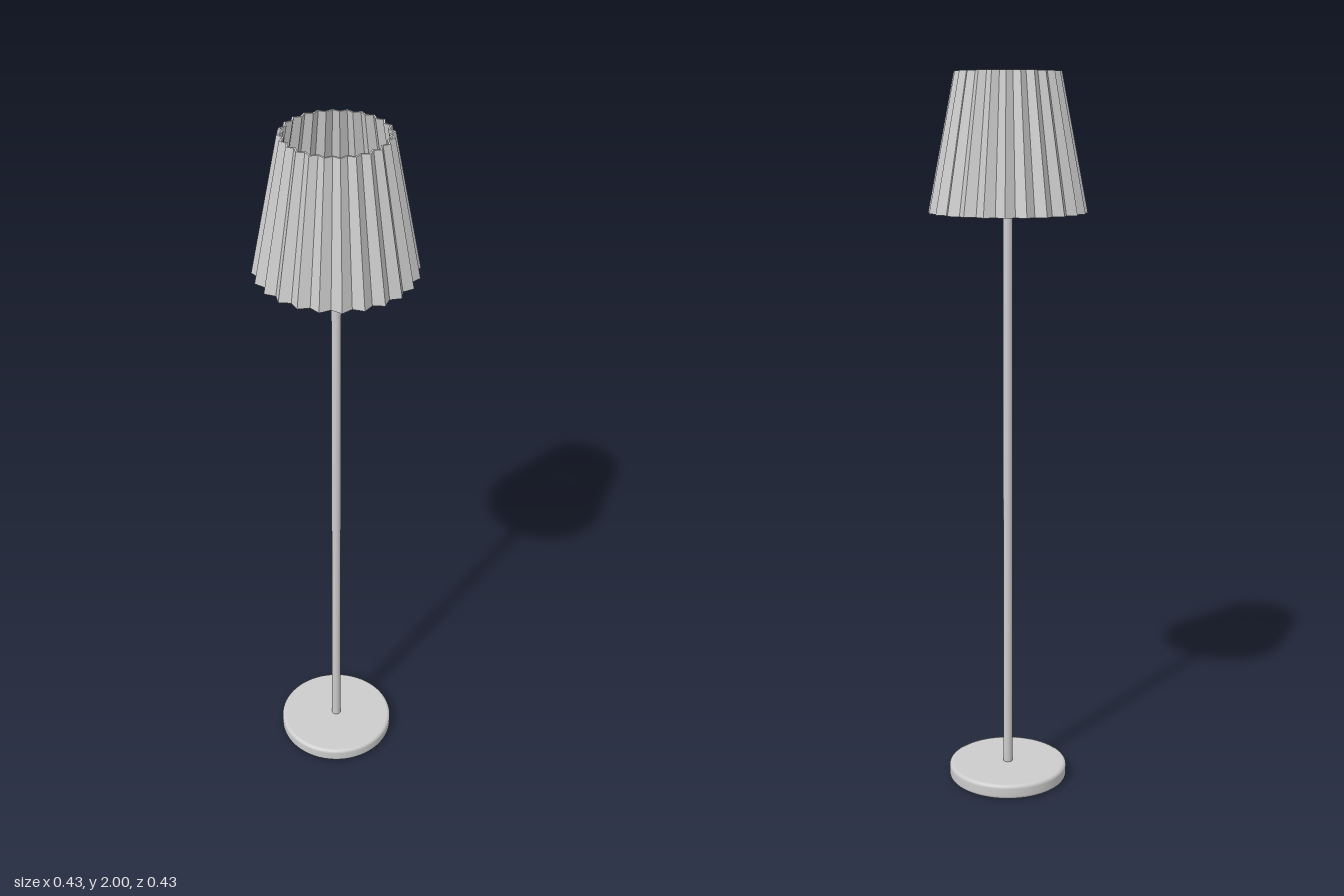
import * as THREE from 'three';

const PLEATS = 24;

export function createModel() {
  const group = new THREE.Group();
  group.name = 'floorLamp';
  const smooth = new THREE.MeshStandardMaterial({ color: 0xcccccc });
  const flat = new THREE.MeshStandardMaterial({ color: 0xcccccc, flatShading: true, side: THREE.DoubleSide });

  const add = (name, geometry, material, y = 0) => {
    const mesh = new THREE.Mesh(geometry, material);
    mesh.name = name;
    mesh.position.y = y;
    group.add(mesh);
  };
  const points = (list) => list.map(([r, y]) => new THREE.Vector2(r, y));

  // Round base with softened edges: flat faces joined by a rounded rim
  const rim = [];
  for (let i = 0; i <= 4; i++) {
    const a = -Math.PI / 2 + (i / 4) * (Math.PI / 2);
    rim.push([0.16 + 0.01 * Math.cos(a), 0.01 + 0.01 * Math.sin(a)]);
  }
  const upperRim = rim.map(([r, y]) => [r, 0.042 - y]).reverse();
  add('baseRim', new THREE.LatheGeometry(points([...rim, ...upperRim]), 64), smooth);
  add('baseTop', new THREE.CircleGeometry(0.16, 64).rotateX(-Math.PI / 2), smooth, 0.042);
  add('baseBottom', new THREE.CircleGeometry(0.16, 64).rotateX(Math.PI / 2), smooth);

  // Slim pole, ending inside the bulb
  add('pole', new THREE.CylinderGeometry(0.013, 0.013, 1.7, 24), smooth, 0.04 + 0.85);

  // Round bulb
  add('bulb', new THREE.SphereGeometry(0.056, 32, 20), smooth, 1.78);

  // Pleated shade: closed thin wall, every second column pulled inward
  const wall = points([[0.215, 1.63], [0.143, 2], [0.137, 2], [0.209, 1.63], [0.215, 1.63]]);
  const shade = new THREE.LatheGeometry(wall, PLEATS * 2);
  const pos = shade.attributes.position;
  for (let v = 0; v < pos.count; v++) {
    const column = Math.floor(v / wall.length);
    const k = column % 2 ? 0.92 : 1;
    pos.setXYZ(v, pos.getX(v) * k, pos.getY(v), pos.getZ(v) * k);
  }
  shade.computeVertexNormals();
  add('shade', shade, flat);

  return group;
}
